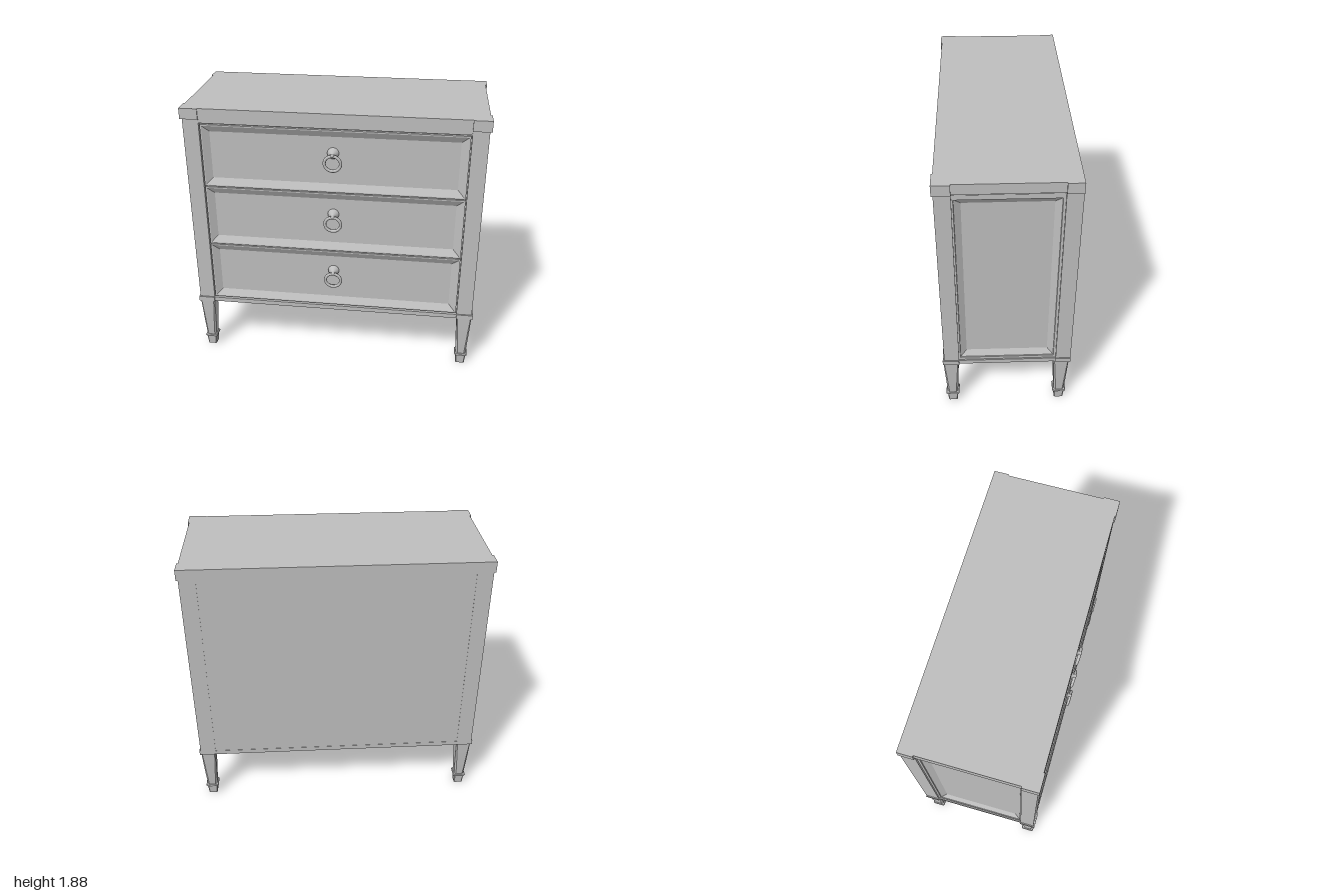
import * as THREE from 'three';

const grey = new THREE.MeshStandardMaterial({ color: 0xbebebe });
grey.name = 'paintedGrey';

// Nested rectangles [halfWidth, halfHeight, z], joined by flat faces and capped at the last one
function steppedPanel(loops) {
  const pos = [];
  const rect = ([w, h, z]) => [[-w, -h, z], [w, -h, z], [w, h, z], [-w, h, z]];
  const quad = (a, b, c, d) => pos.push(...a, ...b, ...c, ...a, ...c, ...d);
  for (let i = 0; i < loops.length - 1; i++) {
    const o = rect(loops[i]), n = rect(loops[i + 1]);
    for (let k = 0; k < 4; k++) quad(o[k], o[(k + 1) % 4], n[(k + 1) % 4], n[k]);
  }
  quad(...rect(loops[loops.length - 1]));
  const g = new THREE.BufferGeometry();
  g.setAttribute('position', new THREE.Float32BufferAttribute(pos, 3));
  g.computeVertexNormals();
  return g;
}

// Square column with chamfered corners through levels [y, halfSize, chamfer]
function chamferedColumn(levels) {
  const pos = [];
  const ring = ([y, s, c]) => [
    [s, y, s - c], [s, y, c - s], [s - c, y, -s], [c - s, y, -s],
    [-s, y, c - s], [-s, y, s - c], [c - s, y, s], [s - c, y, s]];
  for (let i = 0; i < levels.length - 1; i++) {
    const a = ring(levels[i]), b = ring(levels[i + 1]);
    for (let k = 0; k < 8; k++) {
      const n = (k + 1) % 8;
      pos.push(...a[k], ...a[n], ...b[n], ...a[k], ...b[n], ...b[k]);
    }
  }
  const base = ring(levels[0]);
  for (let k = 1; k < 7; k++) pos.push(...base[0], ...base[k + 1], ...base[k]);
  const g = new THREE.BufferGeometry();
  g.setAttribute('position', new THREE.Float32BufferAttribute(pos, 3));
  g.computeVertexNormals();
  return g;
}

export function createModel() {
  const model = new THREE.Group();
  model.name = 'chestOfDrawers';

  const add = (name, geometry, parent = model) => {
    const m = new THREE.Mesh(geometry, grey);
    m.name = name;
    parent.add(m);
    return m;
  };
  // Box given by its limits on each axis
  const block = (name, x0, x1, y0, y1, z0, z1) => {
    const m = add(name, new THREE.BoxGeometry(x1 - x0, y1 - y0, z1 - z0));
    m.position.set((x0 + x1) / 2, (y0 + y1) / 2, (z0 + z1) / 2);
    return m;
  };

  // Carcass, top and rails
  block('carcass', -0.93, 0.93, 0.402, 1.83, -0.438, 0.36);
  block('topBoard', -0.99, 0.99, 1.81, 1.88, -0.44, 0.412);
  block('topRail', -0.88, 0.88, 1.78, 1.81, 0.3, 0.408);
  block('bottomRail', -0.985, 0.985, 0.4, 0.432, -0.44, 0.41);

  // Corner posts with their top and base blocks, side panels and legs
  const legLevels = [
    [0, 0.031, 0.006], [0.068, 0.036, 0.006], [0.07, 0.042, 0.008], [0.078, 0.046, 0.008],
    [0.086, 0.042, 0.008], [0.087, 0.035, 0.012], [0.18, 0.041, 0.012],
    [0.3, 0.047, 0.01], [0.4, 0.051, 0.006]];
  const legGeometry = chamferedColumn(legLevels);
  const sideGeometry = steppedPanel([
    [0.328, 0.69, 0.976], [0.312, 0.655, 0.976], [0.31, 0.653, 0.97],
    [0.27, 0.613, 0.945]]);

  for (const s of [-1, 1]) {
    const side = s < 0 ? 'right' : 'left';
    const span = (a, b) => (s > 0 ? [a, b] : [-b, -a]);
    for (const [end, z0, z1, legZ] of [['Front', 0.31, 0.41, 0.365], ['Back', -0.44, -0.34, -0.38]]) {
      const lip = end === 'Front' ? 0.01 : 0;
      block(side + end + 'Post', ...span(0.88, 0.987), 0.43, 1.815, z0, z1);
      block(side + end + 'TopBlock', ...span(0.88, 1), 1.807, 1.88, z0, z1 + lip);
      block(side + end + 'BaseBlock', ...span(0.88, 0.995), 0.4, 0.435, z0, z1 + lip);
      add(side + end + 'Leg', legGeometry).position.set(s * 0.935, 0, legZ);
    }
    const panel = add(side + 'SidePanel', sideGeometry);
    panel.rotation.y = s * Math.PI / 2;
    panel.position.set(0, 1.108, -0.012);
  }

  // Three drawers with recessed faces and ring pulls
  const drawerGeometry = steppedPanel([
    [0.882, 0.226, 0.385], [0.874, 0.219, 0.385], [0.874, 0.219, 0.405],
    [0.865, 0.21, 0.405], [0.82, 0.165, 0.378]]);
  const knobProfile = [[0, 0.062], [0.009, 0.06], [0.013, 0.054], [0.011, 0.047], [0.012, 0.036],
    [0.022, 0.03], [0.028, 0.02], [0.037, 0.014], [0.039, 0.006], [0.037, 0]]
    .reverse().map(([r, y]) => new THREE.Vector2(r, y));
  const knobGeometry = new THREE.LatheGeometry(knobProfile, 24).rotateX(Math.PI / 2);
  const ringGeometry = new THREE.TorusGeometry(0.054, 0.0105, 10, 36);

  [0.661, 1.106, 1.551].forEach((y, i) => {
    const drawer = new THREE.Group();
    drawer.name = 'drawer' + (i + 1);
    drawer.position.y = y;
    model.add(drawer);
    add('drawerFront', drawerGeometry, drawer);
    add('pullKnob', knobGeometry, drawer).position.set(0, 0.053, 0.376);
    const ring = add('pullRing', ringGeometry, drawer);
    ring.position.set(0, -0.006, 0.42);
    ring.rotation.x = 0.08;
  });

  return model;
}
